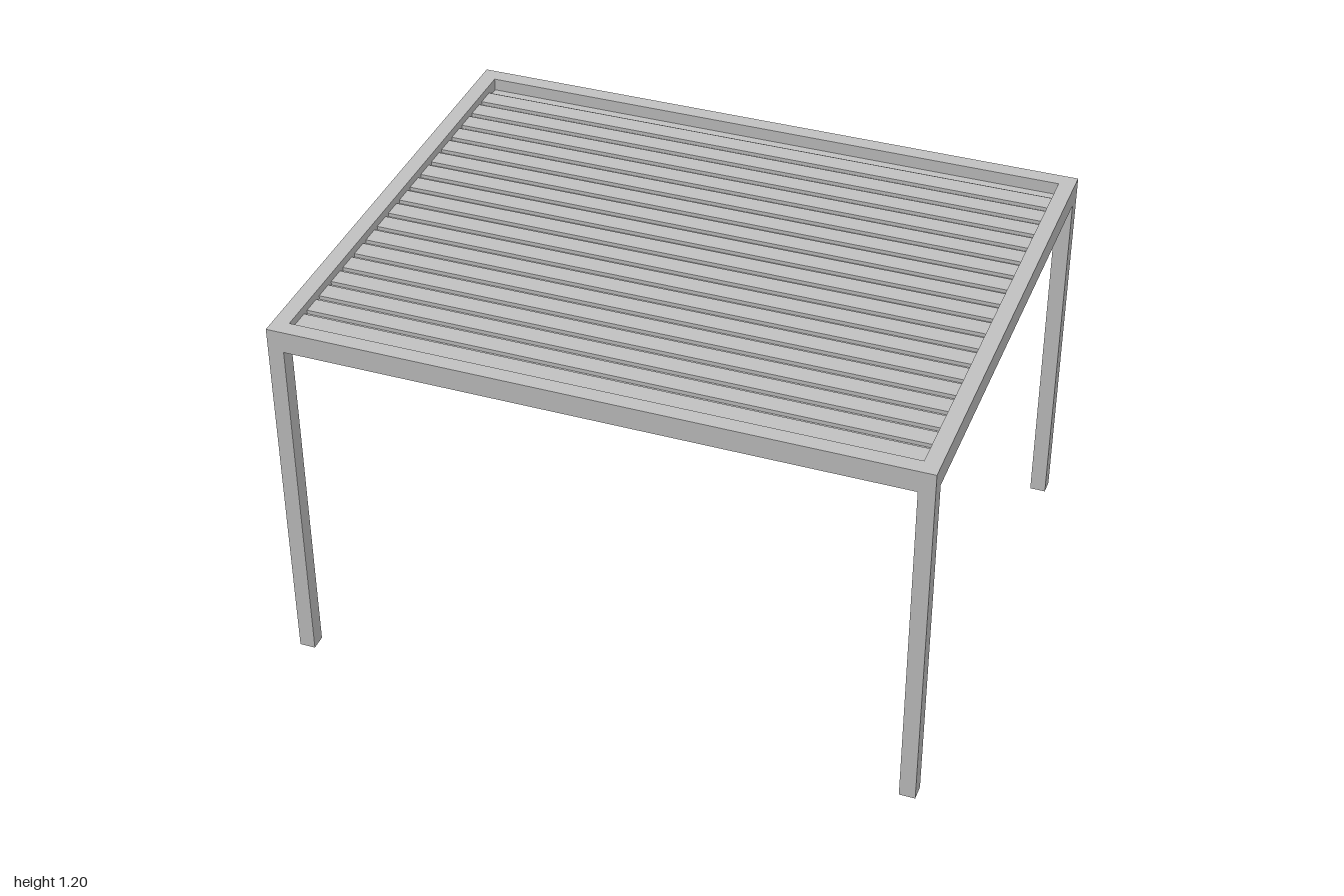
import * as THREE from 'three';

export function createModel() {
  const model = new THREE.Group();
  const metal = new THREE.MeshStandardMaterial({ color: 0xc0c0c0 });
  metal.name = 'greyMetal';

  const add = (name, geometry, x, y, z) => {
    const mesh = new THREE.Mesh(geometry, metal);
    mesh.name = name;
    mesh.position.set(x, y, z);
    model.add(mesh);
    return mesh;
  };
  const box = (name, w, h, d, x, y, z) => add(name, new THREE.BoxGeometry(w, h, d), x, y, z);

  const W = 2, D = 1.6, H = 1.2, T = 0.05, BEAM = 0.07;

  // Four square corner posts
  for (const sx of [-1, 1]) for (const sz of [-1, 1]) {
    const h = H - BEAM;
    box('post', T, h, T, sx * (W - T) / 2, h / 2, sz * (D - T) / 2);
  }

  // Roof frame: one rectangular ring
  const ring = new THREE.Shape([
    [-W / 2, -D / 2], [W / 2, -D / 2], [W / 2, D / 2], [-W / 2, D / 2],
  ].map(([x, y]) => new THREE.Vector2(x, y)));
  const ix = W / 2 - T, iz = D / 2 - T;
  ring.holes.push(new THREE.Path([
    [-ix, -iz], [-ix, iz], [ix, iz], [ix, -iz],
  ].map(([x, y]) => new THREE.Vector2(x, y))));
  const frame = new THREE.ExtrudeGeometry(ring, { depth: BEAM, bevelEnabled: false });
  frame.rotateX(-Math.PI / 2);
  add('roofFrame', frame, 0, H - BEAM, 0);

  // Shelves inside the front and back beams
  for (const s of [-1, 1]) box('gutterShelf', 2 * ix, 0.01, 0.03, 0, 1.155, s * 0.735);

  // Interlocking slats: low lip at the back edge, raised plate, hook below
  const profile = new THREE.Shape([
    [0, 0], [0.08, 0], [0.08, 0.022], [0.02, 0.022], [0.02, 0.012],
    [0.003, 0.012], [0.003, 0.006], [0, 0.006],
  ].map(([z, y]) => new THREE.Vector2(-z, y)));
  const slat = new THREE.ExtrudeGeometry(profile, { depth: 2 * ix, bevelEnabled: false });
  slat.translate(0, 0, -ix);
  slat.rotateY(Math.PI / 2); // profile -x becomes +z
  for (let i = 0; i < 18; i++) {
    add('roofSlat', slat, 0, 1.153, -0.72 + i * 0.08);
    box('slatHook', 2 * ix, 0.006, 0.012, 0, 1.15, -0.71 + i * 0.08);
  }
  return model;
}
